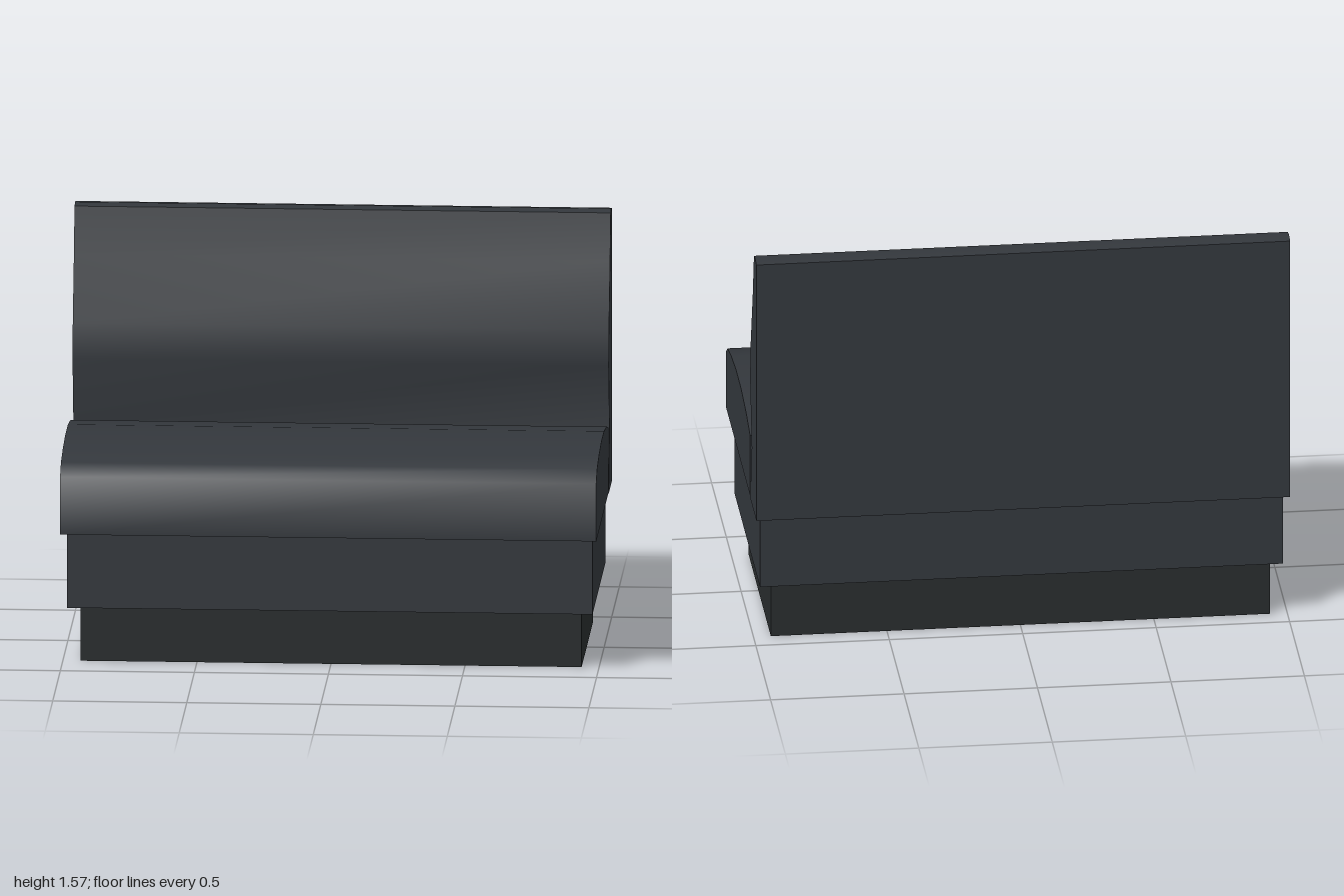
import * as THREE from 'three';
import { toCreasedNormals } from 'three/addons/utils/BufferGeometryUtils.js';

const upholstery = new THREE.MeshStandardMaterial({ color: 0x33373c });
const plinth = new THREE.MeshStandardMaterial({ color: 0x282c2d });

// Cushion swept across the full width from a side profile of [z, y] points
function cushion(name, profile) {
  const shape = new THREE.Shape(profile.map(([z, y]) => new THREE.Vector2(z, y)));
  const geometry = new THREE.ExtrudeGeometry(shape, { depth: 2, bevelEnabled: false });
  geometry.translate(0, 0, -1).rotateY(-Math.PI / 2);
  const mesh = new THREE.Mesh(toCreasedNormals(geometry, 1.1), upholstery);
  mesh.name = name;
  return mesh;
}

// Box given by its width and its y and z limits
function block(name, width, y0, y1, z0, z1, material) {
  const mesh = new THREE.Mesh(new THREE.BoxGeometry(width, y1 - y0, z1 - z0), material);
  mesh.position.set(0, (y0 + y1) / 2, (z0 + z1) / 2);
  mesh.name = name;
  return mesh;
}

export function createModel() {
  const group = new THREE.Group();
  group.name = 'boothBench';

  // Stepped base
  group.add(block('toeKick', 1.87, 0, 0.22, -0.42, 0.33, plinth));
  group.add(block('seatBox', 1.96, 0.22, 0.52, -0.46, 0.41, upholstery));

  // Domed seat
  group.add(cushion('seatCushion', [
    [-0.305, 0.525], [0.52, 0.525], [0.52, 0.745], [0.46, 0.787], [0.335, 0.811],
    [0.17, 0.827], [0, 0.826], [-0.17, 0.804], [-0.305, 0.77],
  ]));

  // Backrest with lumbar bulge and flat rear
  group.add(cushion('backrest', [
    [-0.52, 0.517], [-0.31, 0.517], [-0.362, 0.745], [-0.305, 1.005], [-0.32, 1.14],
    [-0.395, 1.385], [-0.435, 1.56], [-0.475, 1.567], [-0.52, 1.56],
  ]));

  return group;
}
